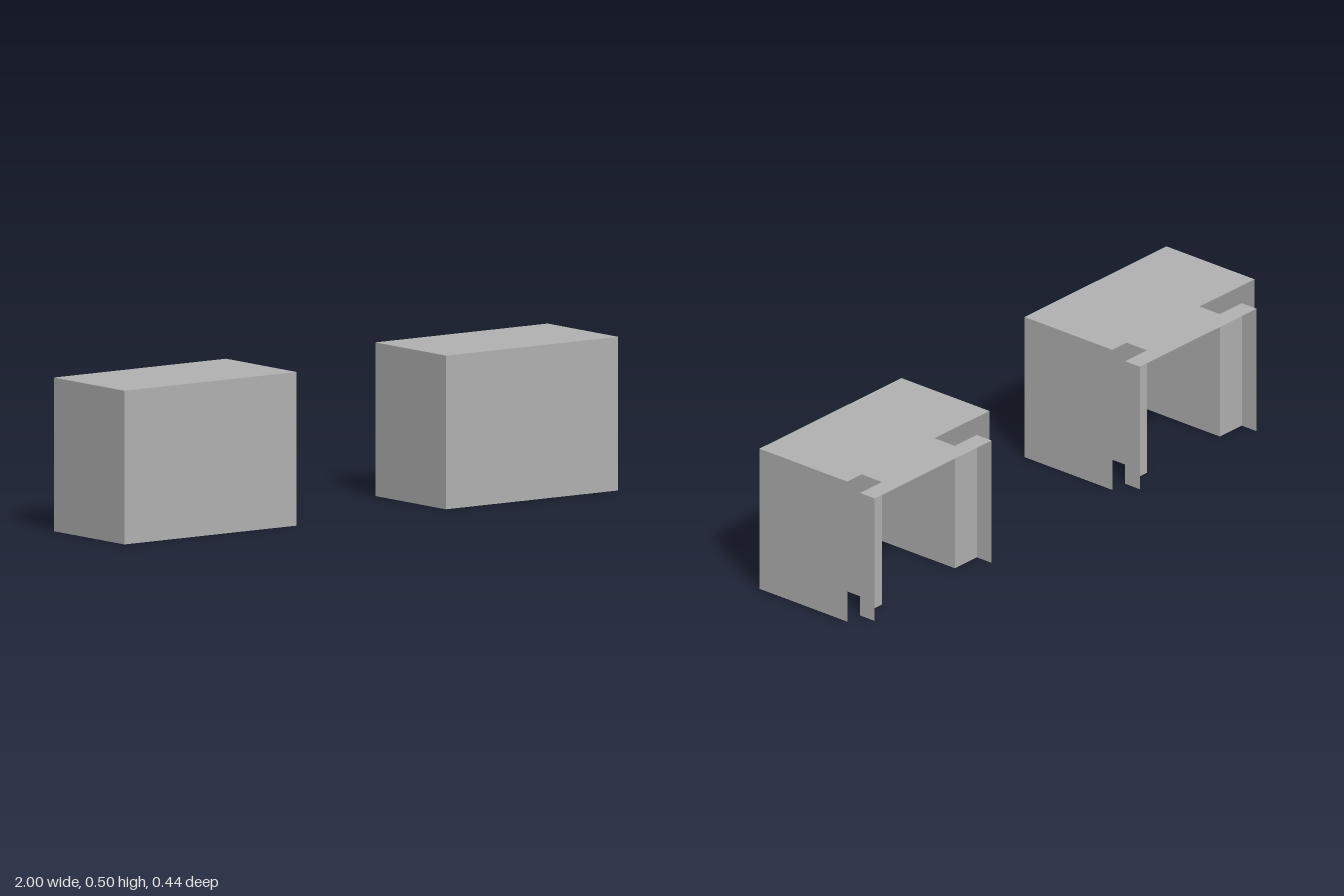
import * as THREE from 'three';
import { mergeGeometries } from 'three/addons/utils/BufferGeometryUtils.js';

// Thin upright walls along a plan outline of [x, z] points, closed by a flat top;
// the side between the last and first point stays open, as does the underside.
function openBack(outline, height) {
  const parts = [];
  for (let i = 0; i < outline.length - 1; i++) {
    const [x0, z0] = outline[i];
    const [x1, z1] = outline[i + 1];
    const wall = new THREE.PlaneGeometry(Math.hypot(x1 - x0, z1 - z0), height);
    wall.rotateY(Math.atan2(z0 - z1, x1 - x0));
    wall.translate((x0 + x1) / 2, height / 2, (z0 + z1) / 2);
    parts.push(wall);
  }
  const top = new THREE.ShapeGeometry(
    new THREE.Shape(outline.map(([x, z]) => new THREE.Vector2(x, -z)))
  );
  top.rotateX(-Math.PI / 2);
  top.translate(0, height, 0);
  parts.push(top);
  return mergeGeometries(parts);
}

// Complete a half outline (on the -x side) with its mirror image
function mirrored(half) {
  return [...half, ...half.map(([x, z]) => [-x, z]).reverse()];
}

export function createModel() {
  const model = new THREE.Group();
  model.name = 'pairOfHousings';

  const grey = new THREE.MeshStandardMaterial({ color: 0xb2b2b2, side: THREE.DoubleSide });
  grey.name = 'plain grey';

  const front = 0.219, back = -0.156, flangeBack = -0.219;

  // Outer cover, open at the back and below
  const coverGeometry = openBack(mirrored([[-0.349, back], [-0.349, front]]), 0.5);

  // Inner recess with a wide flange sticking out behind the cover
  const recessGeometry = openBack(mirrored([
    [-0.287, flangeBack], [-0.287, back], [-0.179, back], [-0.179, 0.154],
  ]), 0.437);

  for (const [side, x] of [['right', -0.651], ['left', 0.651]]) {
    const unit = new THREE.Group();
    unit.name = side + 'Housing';
    unit.position.x = x;
    const cover = new THREE.Mesh(coverGeometry, grey);
    cover.name = 'outerCover';
    const recess = new THREE.Mesh(recessGeometry, grey);
    recess.name = 'flangedRecess';
    unit.add(cover, recess);
    model.add(unit);
  }
  return model;
}
